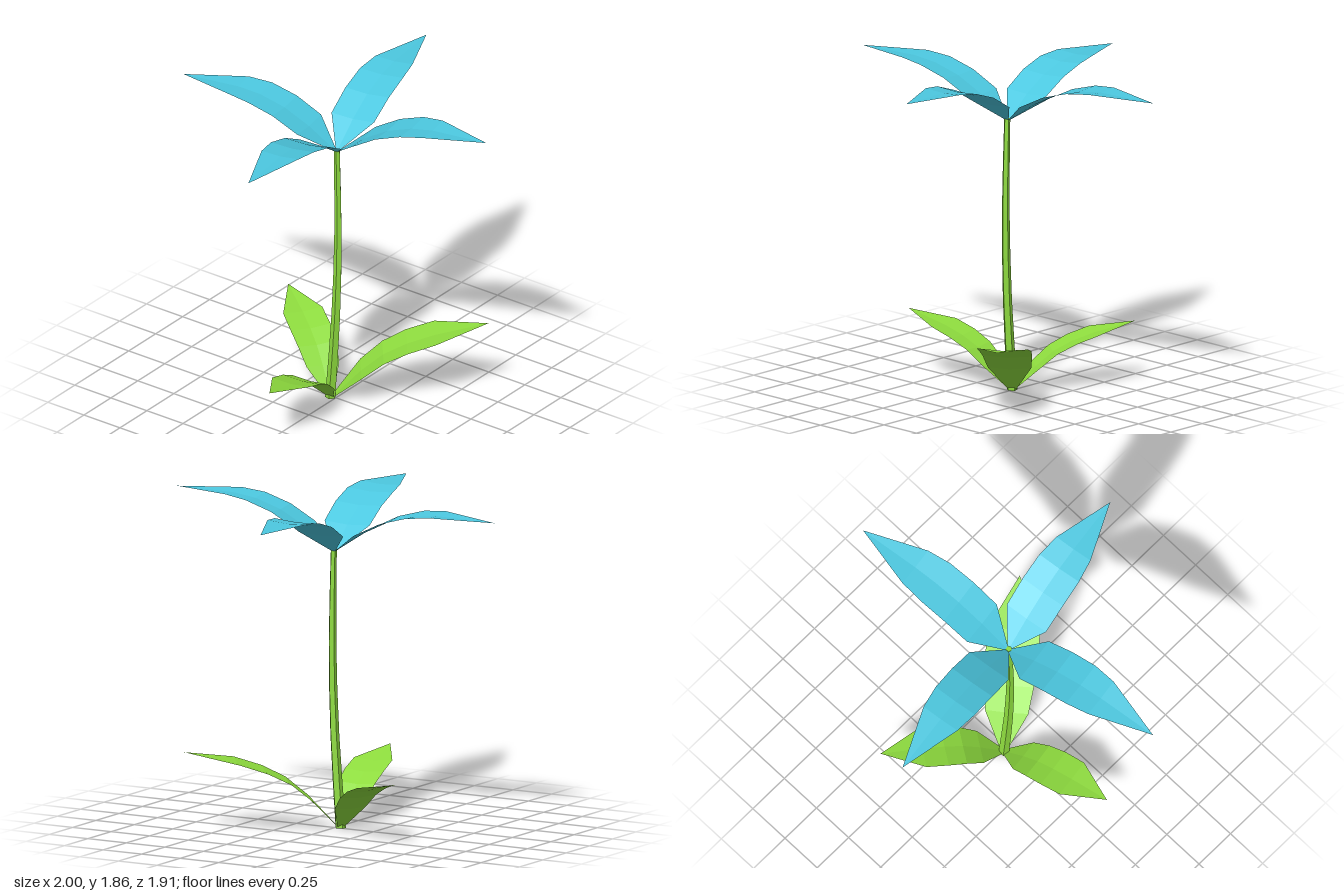
import * as THREE from 'three';

const material = (color) => new THREE.MeshStandardMaterial({ color, flatShading: true, side: THREE.DoubleSide });

// Curved blade from base to tip. Rows: [fraction of length, half width, height], widths and heights scaled by size.
// slope tilts the blade along world z, fold lowers the midrib.
function blade(name, rows, base, tip, size, slope, fold, mat) {
  const dx = tip[0] - base[0], dz = tip[1] - base[2];
  const length = Math.hypot(dx, dz);
  const ux = dx / length, uz = dz / length;
  const positions = [], index = [];
  rows.forEach(([t, halfWidth, height], i) => {
    for (const side of [-1, 0, 1]) {
      const w = side * halfWidth * size;
      const x = base[0] + ux * t * length - uz * w;
      const z = base[2] + uz * t * length + ux * w;
      const dip = side === 0 ? fold * halfWidth * size : 0;
      positions.push(x, base[1] + height * size + slope * z - dip, z);
    }
    if (i === rows.length - 1) return;
    for (let j = 0; j < 2; j++) {
      const a = i * 3 + j, b = a + 1, c = a + 3;
      index.push(a, b, c, b, c + 1, c);
    }
  });
  const geometry = new THREE.BufferGeometry();
  geometry.setAttribute('position', new THREE.Float32BufferAttribute(positions, 3));
  geometry.setIndex(index);
  geometry.computeVertexNormals();
  const mesh = new THREE.Mesh(geometry, mat);
  mesh.name = name;
  return mesh;
}

export function createModel() {
  const group = new THREE.Group();
  group.name = 'flower';
  const green = material(0x8edc3e);
  const blue = material(0x4cc8e0);

  // Five-sided stem, gently bowed toward the front
  const stemHeight = 1.57;
  const bow = new THREE.CatmullRomCurve3([
    new THREE.Vector3(-0.008, 0, -0.03),
    new THREE.Vector3(-0.008, 0.52, 0.008),
    new THREE.Vector3(-0.007, 1.05, 0.022),
    new THREE.Vector3(-0.005, stemHeight, 0.012),
  ]);
  const stemGeometry = new THREE.CylinderGeometry(0.018, 0.031, stemHeight, 5, 6);
  stemGeometry.translate(0, stemHeight / 2, 0);
  const p = stemGeometry.attributes.position;
  for (let i = 0; i < p.count; i++) {
    const c = bow.getPoint(THREE.MathUtils.clamp(p.getY(i) / stemHeight, 0, 1));
    p.setXYZ(i, p.getX(i) + c.x, p.getY(i), p.getZ(i) + c.z);
  }
  stemGeometry.computeVertexNormals();
  const stem = new THREE.Mesh(stemGeometry, green);
  stem.name = 'stem';
  group.add(stem);

  // Four petals arching outward
  const petalRows = [
    [0.01, 0.012, 0], [0.18, 0.136, 0.125], [0.34, 0.139, 0.208],
    [0.5, 0.137, 0.256], [0.64, 0.118, 0.272], [1, 0, 0.262],
  ];
  const petals = { leftPetal: [1, -0.12], rightPetal: [-1, 0.14], backPetal: [-0.13, -0.96], frontPetal: [0.125, 0.95] };
  for (const [name, tip] of Object.entries(petals)) {
    group.add(blade(name, petalRows, [-0.003, 1.563, 0.008], tip, 1, 0.037, 0.07, blue));
  }

  // Three leaves rising from the foot of the stem
  const leafRows = [
    [0.01, 0.025, 0.005], [0.19, 0.138, 0.195], [0.33, 0.158, 0.31],
    [0.48, 0.168, 0.385], [0.66, 0.165, 0.445], [1, 0, 0.51],
  ];
  const leaves = { frontLeaf: [0.54, 0.655, 0.88], backLeaf: [0.38, -0.615, 0.7], sideLeaf: [-0.71, 0.07, 0.7] };
  for (const [name, [x, z, size]] of Object.entries(leaves)) {
    group.add(blade(name, leafRows, [-0.005, 0, -0.03], [x, z], size, 0, 0.08, green));
  }
  return group;
}
